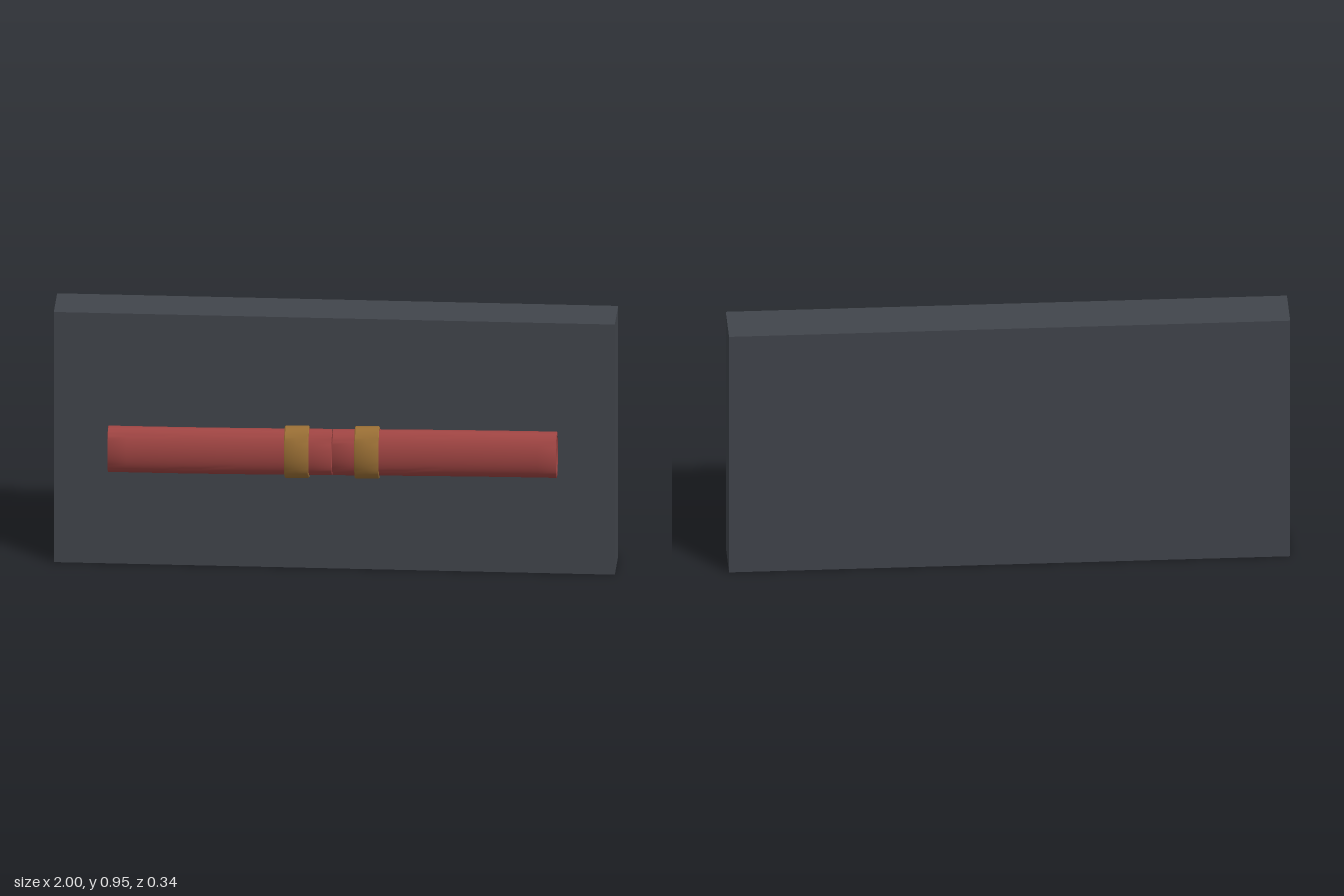
import * as THREE from 'three';
import { toCreasedNormals } from 'three/addons/utils/BufferGeometryUtils.js';

const FLATTEN = 0.585; // depth of the oval section relative to its height

// Slight sag and bow of the pipe's centre line at x
const centreY = x => 0.478 + 0.0075 * Math.sin((x / 0.8) * Math.PI / 2);
const centreZ = x => 0.113 + 0.003 * Math.cos((x / 0.8) * Math.PI / 2);

// Hollow oval sleeve between x0 and x1 that follows the centre line
function sleeve(name, x0, x1, outer, inner, bevel, steps, material) {
  const profile = [];
  for (let i = 0; i <= steps; i++) {
    profile.push(new THREE.Vector2(outer, x0 + bevel + (x1 - x0 - 2 * bevel) * i / steps));
  }
  profile.push(new THREE.Vector2(outer - bevel, x1));
  for (let i = steps; i >= 0; i--) {
    profile.push(new THREE.Vector2(inner, x0 + (x1 - x0) * i / steps));
  }
  profile.push(new THREE.Vector2(outer - bevel, x0), profile[0].clone());

  const geometry = new THREE.LatheGeometry(profile, 48);
  geometry.rotateZ(-Math.PI / 2);
  geometry.scale(1, 1, FLATTEN);
  const p = geometry.attributes.position;
  for (let i = 0; i < p.count; i++) {
    const x = p.getX(i);
    p.setXYZ(i, x, p.getY(i) + centreY(x), p.getZ(i) + centreZ(x));
  }
  const mesh = new THREE.Mesh(toCreasedNormals(geometry, 0.6), material);
  mesh.name = name;
  return mesh;
}

export function createModel() {
  const group = new THREE.Group();
  group.name = 'wallPipe';
  const wallMaterial = new THREE.MeshStandardMaterial({ color: 0x41454c });
  const pipeMaterial = new THREE.MeshStandardMaterial({ color: 0xa04543 });
  const bandMaterial = new THREE.MeshStandardMaterial({ color: 0x9a6f35 });

  // Backing wall
  const wall = new THREE.Mesh(new THREE.BoxGeometry(2, 0.95, 0.19), wallMaterial);
  wall.name = 'wall';
  wall.position.set(0, 0.475, -0.075);
  group.add(wall);

  // Two pipe halves butted together at the middle
  group.add(sleeve('pipeRight', -0.8, -0.001, 0.086, 0.07, 0.001, 12, pipeMaterial));
  group.add(sleeve('pipeLeft', 0.001, 0.8, 0.086, 0.07, 0.001, 12, pipeMaterial));

  // Collars on either side of the joint
  group.add(sleeve('bandRight', -0.17, -0.083, 0.0975, 0.083, 0.003, 2, bandMaterial));
  group.add(sleeve('bandLeft', 0.08, 0.167, 0.0975, 0.083, 0.003, 2, bandMaterial));

  return group;
}
